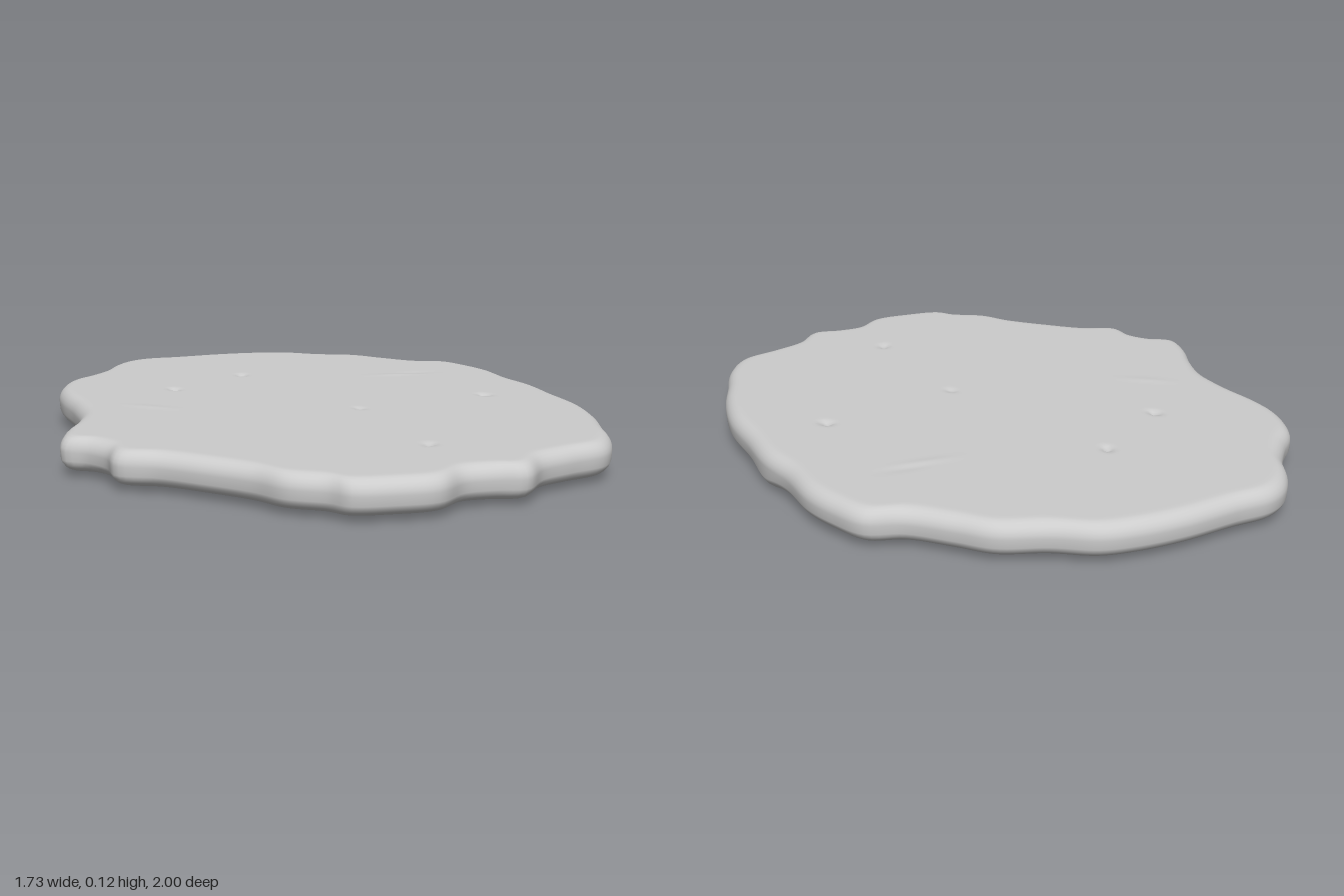
import * as THREE from 'three';

// Outline of the slab, x and z, clockwise from the back
const OUTLINE = [
  [0.08, -1.0], [0.15, -0.99], [0.25, -0.93], [0.4, -0.85], [0.52, -0.765], [0.6, -0.685],
  [0.66, -0.56], [0.74, -0.44], [0.765, -0.32], [0.8, -0.18], [0.86, -0.09], [0.85, 0.03],
  [0.82, 0.14], [0.75, 0.27], [0.7, 0.4], [0.62, 0.53], [0.53, 0.68], [0.42, 0.8],
  [0.32, 0.88], [0.22, 0.96], [0.12, 0.997], [0, 0.965], [-0.12, 0.94], [-0.23, 0.96],
  [-0.29, 0.905], [-0.37, 0.855], [-0.48, 0.855], [-0.58, 0.79], [-0.67, 0.705], [-0.68, 0.64],
  [-0.73, 0.53], [-0.735, 0.42], [-0.77, 0.26], [-0.81, 0.12], [-0.865, 0.02], [-0.83, -0.06],
  [-0.83, -0.15], [-0.857, -0.22], [-0.8, -0.29], [-0.7, -0.36], [-0.6, -0.45], [-0.52, -0.58],
  [-0.46, -0.71], [-0.4, -0.8], [-0.3, -0.875], [-0.2, -0.895], [-0.1, -0.925], [0, -0.98],
];
const TOP = 0.123, BOTTOM = 0.017, ROUND = 0.046;
const SEGMENTS = 300, RINGS = 60, ARC = 6;

// Small pits: x, z, depth
const TOP_PITS = [[-0.18, -0.465, 0.014], [0.145, -0.465, 0.014], [0, 0.19, 0.007], [0.43, 0.37, 0.014], [-0.23, 0.63, 0.012]];
const BOTTOM_PITS = [[-0.46, -0.1, 0.012], [0.43, -0.43, 0.012], [0.38, -0.14, 0.012], [0.16, 0.03, 0.012], [-0.22, 0.22, 0.012]];

const bell = (dx, dz, sx, sz) => Math.exp(-(dx * dx) / (sx * sx) - (dz * dz) / (sz * sz));
const pits = (list, x, z) => list.reduce((sum, [px, pz, d]) => sum + d * bell(x - px, z - pz, 0.016, 0.016), 0);

// Shallow crease of a given direction
function crease(x, z, cx, cz, angle, length) {
  const dx = x - cx, dz = z - cz, c = Math.cos(angle), s = Math.sin(angle);
  return bell(dx * c + dz * s, -dx * s + dz * c, length, 0.02);
}

function slabGeometry() {
  const curve = new THREE.CatmullRomCurve3(OUTLINE.map(([x, z]) => new THREE.Vector3(x, 0, z)), true, 'centripetal');
  const rim = curve.getSpacedPoints(SEGMENTS).slice(0, SEGMENTS);

  // Cross-section from top centre, around the rounded rim, to bottom centre
  const profile = [];
  for (let i = 1; i <= RINGS; i++) profile.push({ scale: i / RINGS, inset: ROUND, y: TOP });
  for (let i = 1; i <= 2 * ARC; i++) {
    const a = (i / (2 * ARC)) * Math.PI;
    const lower = i > ARC ? BOTTOM + ROUND : TOP - ROUND;
    profile.push({ scale: 1, inset: ROUND * (1 - Math.sin(a)), y: lower + ROUND * Math.cos(a) });
  }
  for (let i = RINGS - 1; i >= 1; i--) profile.push({ scale: i / RINGS, inset: ROUND, y: BOTTOM });

  const positions = [0, TOP, 0], index = [];
  for (const { scale, inset, y } of profile) {
    for (const p of rim) {
      const f = scale * (1 - inset / p.length());
      const x = p.x * f, z = p.z * f;
      let h = y;
      if (y > TOP - 0.001) {
        h -= pits(TOP_PITS, x, z);
        h += 0.003 * crease(x, z, 0.52, -0.05, 0.65, 0.09) - 0.003 * crease(x, z, 0.57, -0.03, 0.65, 0.07);
        h += 0.002 * crease(x, z, -0.42, -0.32, 1.2, 0.08);
      } else if (y < BOTTOM + ROUND) {
        // Bottom pits and the drip under the left edge
        if (y < BOTTOM + 0.001) h += pits(BOTTOM_PITS, x, z);
        h -= 0.017 * bell(x - 0.67, z - 0.4, 0.07, 0.07);
      }
      positions.push(x, h, z);
    }
  }
  const last = positions.length / 3;
  positions.push(0, BOTTOM, 0);

  const at = (ring, j) => 1 + ring * SEGMENTS + (j % SEGMENTS);
  for (let j = 0; j < SEGMENTS; j++) {
    index.push(0, at(0, j + 1), at(0, j));
    for (let r = 0; r < profile.length - 1; r++) {
      index.push(at(r, j), at(r + 1, j + 1), at(r + 1, j));
      index.push(at(r, j), at(r, j + 1), at(r + 1, j + 1));
    }
    index.push(last, at(profile.length - 1, j), at(profile.length - 1, j + 1));
  }

  const geometry = new THREE.BufferGeometry();
  geometry.setAttribute('position', new THREE.Float32BufferAttribute(positions, 3));
  geometry.setIndex(index);
  geometry.computeVertexNormals();
  return geometry;
}

export function createModel() {
  const stone = new THREE.MeshStandardMaterial({ color: 0xcccccc });
  stone.name = 'light grey stone';
  const slab = new THREE.Mesh(slabGeometry(), stone);
  slab.name = 'stoneSlab';
  const group = new THREE.Group();
  group.name = 'flatStone';
  group.add(slab);
  return group;
}
